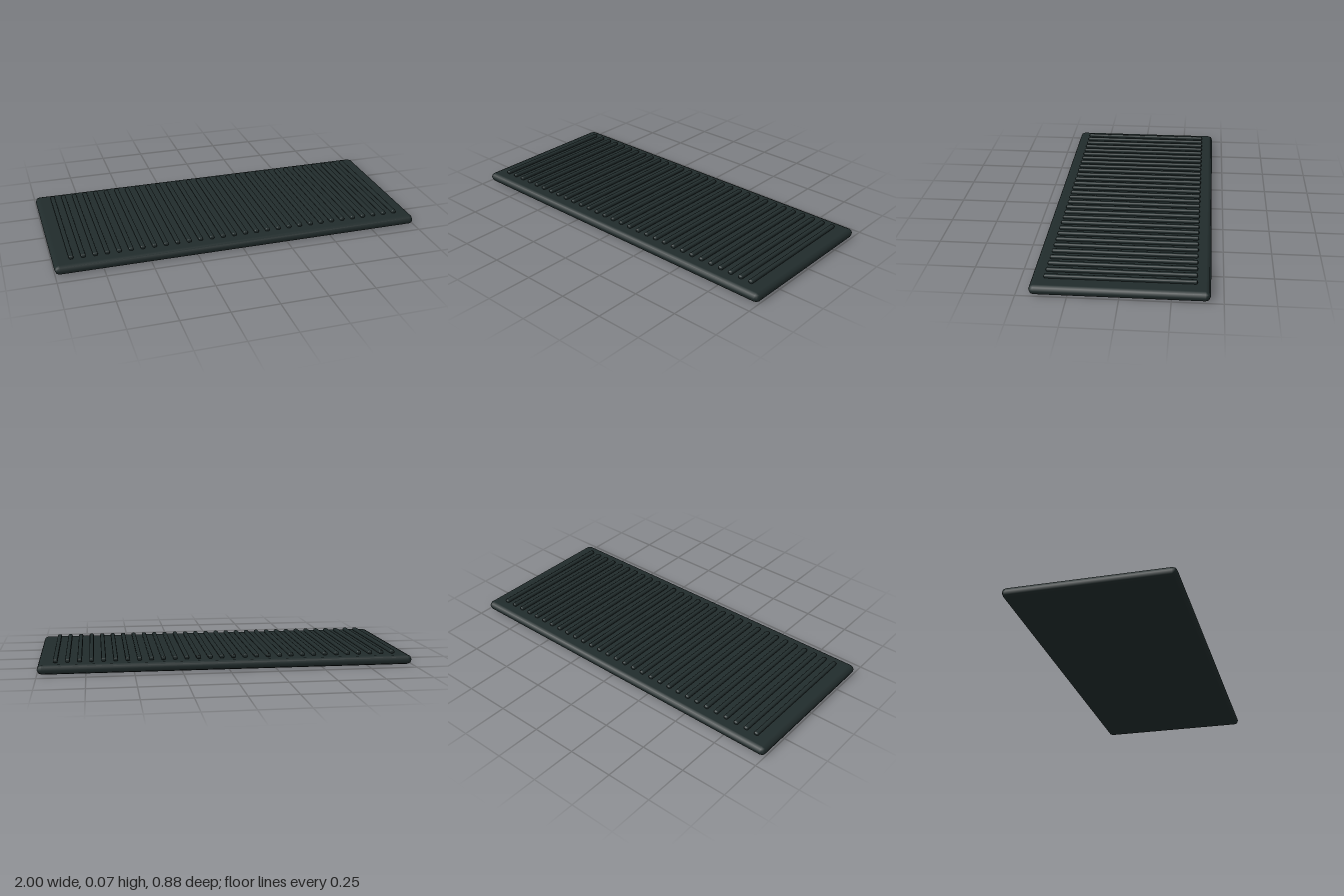
import * as THREE from 'three';
import { RoundedBoxGeometry } from 'three/addons/geometries/RoundedBoxGeometry.js';

export function createModel() {
  const model = new THREE.Group();
  model.name = 'ribbedMat';

  const rubber = new THREE.MeshStandardMaterial({ color: 0x212c2c });
  rubber.name = 'dark rubber';

  // Flat slab with fully rounded rim
  const base = new THREE.Mesh(new RoundedBoxGeometry(2, 0.05, 0.875, 1, 0.025), rubber);
  base.name = 'base';
  base.position.y = 0.025;
  model.add(base);

  // Evenly spaced raised ribs running front to back
  const ribs = new THREE.Group();
  ribs.name = 'ribs';
  const ribCount = 30;
  const spacing = 0.0625;
  const ribGeometry = new RoundedBoxGeometry(0.025, 0.02, 0.745, 1, 0.008);
  for (let i = 0; i < ribCount; i++) {
    const rib = new THREE.Mesh(ribGeometry, rubber);
    rib.name = `rib${i + 1}`;
    rib.position.set((i - (ribCount - 1) / 2) * spacing, 0.06, 0);
    ribs.add(rib);
  }
  model.add(ribs);

  return model;
}
